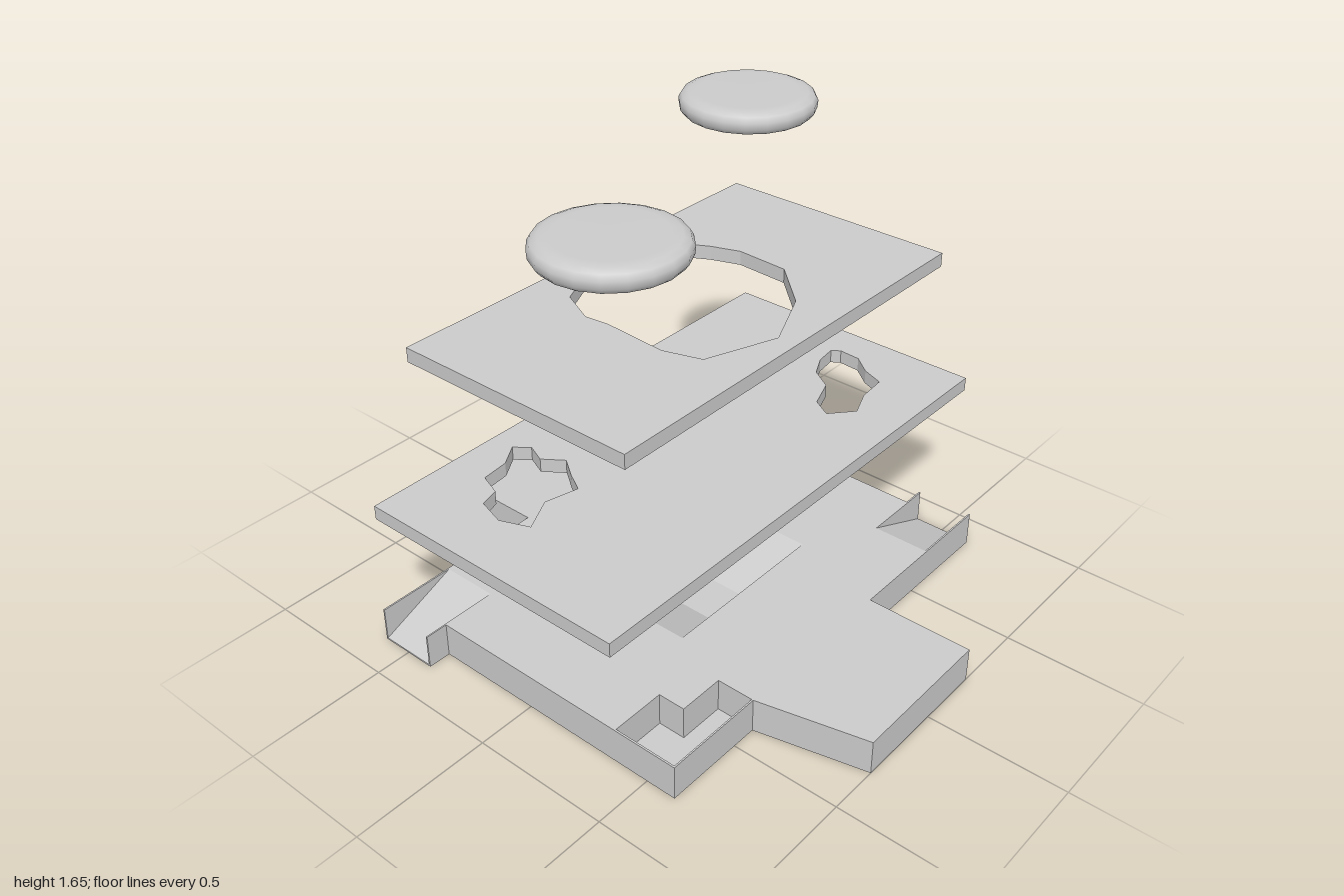
import * as THREE from 'three';

const grey = new THREE.MeshStandardMaterial({ color: 0xcccccc, side: THREE.DoubleSide });
const toPoints = (list) => list.map(([x, z]) => new THREE.Vector2(x, z));
const turned = (list) => list.map(([x, z]) => [-x, -z]);
const rect = (w, d) => [[-w, -d], [w, -d], [w, d], [-w, d]];

// Flat slab from an outline in x and z, with optional holes, between two heights
function slab(name, outline, holes, bottom, top) {
  const shape = new THREE.Shape(toPoints(outline));
  for (const h of holes) shape.holes.push(new THREE.Path(toPoints(h)));
  const geo = new THREE.ExtrudeGeometry(shape, { depth: top - bottom, bevelEnabled: false });
  geo.rotateX(Math.PI / 2).translate(0, top, 0);
  return named(name, geo);
}

function named(name, geo) {
  const mesh = new THREE.Mesh(geo, grey);
  mesh.name = name;
  return mesh;
}

// Four sloping sides between a lower and an upper rectangle
function hopper(name, low, y0, high, y1) {
  const pos = [];
  for (let i = 0; i < 4; i++) {
    const j = (i + 1) % 4;
    const a = [low[i][0], y0, low[i][1]], b = [low[j][0], y0, low[j][1]];
    const c = [high[j][0], y1, high[j][1]], d = [high[i][0], y1, high[i][1]];
    pos.push(...a, ...b, ...c, ...a, ...c, ...d);
  }
  const geo = new THREE.BufferGeometry();
  geo.setAttribute('position', new THREE.Float32BufferAttribute(pos, 3));
  geo.computeVertexNormals();
  return named(name, geo);
}

// Half of the base outline: side ear, front edge and tapered tab
function baseHalf(tabEdge, notched) {
  const notch = notched ? [[0.87, 0.396], [0.58, 0.396], [0.58, 0.604], [0.87, 0.604]] : [];
  return [
    [0.787, 0.39], [0.87, 0.39], ...notch, [0.87, 0.61],
    [tabEdge, 0.61], [tabEdge, 1], [-0.32, 1], [-0.41, 0.61], [-0.787, 0.61],
  ];
}
const baseOutline = (notched) => [...baseHalf(0.23, notched), ...turned(baseHalf(0.19, notched))];

function createBase() {
  const base = new THREE.Group();
  base.name = 'base';
  const height = 0.127, floor = 0.006;
  const pocket = [[-0.78, 0.37], [-0.58, 0.37], [-0.58, 0.47], [-0.41, 0.47], [-0.41, 0.604], [-0.78, 0.604]];
  const rim = rect(0.33, 0.25);
  base.add(slab('baseFloor', baseOutline(false), [], 0, floor));
  base.add(slab('baseBody', baseOutline(true), [pocket, turned(pocket), rim], floor, height));
  base.add(hopper('centreRecess', rect(0.085, 0.18), floor, rim, height));

  // Ramps running down and out through the open ears
  for (const side of [0, 1]) {
    const tri = new THREE.Shape(toPoints([[0.58, floor], [0.87, floor], [0.58, height]]));
    const geo = new THREE.ExtrudeGeometry(tri, { depth: 0.208, bevelEnabled: false });
    geo.translate(0, 0, 0.396).rotateY(side * Math.PI);
    base.add(named('ramp', geo));
  }
  return base;
}

export function createModel() {
  const model = new THREE.Group();
  model.name = 'explodedAssembly';
  model.add(createBase());

  // Middle plate with two irregular openings
  const leftOpening = [
    [0.8, 0.05], [0.795, 0.13], [0.74, 0.2], [0.71, 0.28], [0.6, 0.29], [0.5, 0.33],
    [0.42, 0.26], [0.46, 0.19], [0.57, 0.15], [0.62, 0.07], [0.7, 0.03], [0.78, 0.02],
  ];
  const rightOpening = [
    [-0.69, -0.05], [-0.73, -0.15], [-0.7, -0.25], [-0.63, -0.27], [-0.6, -0.35], [-0.5, -0.36],
    [-0.42, -0.41], [-0.38, -0.36], [-0.41, -0.29], [-0.36, -0.22], [-0.41, -0.15], [-0.45, -0.08], [-0.57, -0.11],
  ];
  model.add(slab('middlePlate', rect(0.93, 0.5), [leftOpening, rightOpening], 0.59, 0.64));

  // Upper plate with one large opening
  const bigOpening = [
    [-0.09, -0.36], [0.11, -0.34], [0.29, -0.245], [0.325, -0.18], [0.36, -0.08], [0.35, 0.11], [0.2, 0.27],
    [-0.02, 0.37], [-0.265, 0.28], [-0.305, 0.15], [-0.29, -0.08], [-0.3, -0.165], [-0.24, -0.29],
  ];
  model.add(slab('upperPlate', rect(0.785, 0.44), [bigOpening], 1.12, 1.17));

  // Two rounded discs on top
  const profile = toPoints([
    [0, 1.572], [0.19, 1.573], [0.217, 1.58], [0.23, 1.597], [0.232, 1.62],
    [0.222, 1.638], [0.2, 1.647], [0.17, 1.649], [0, 1.65],
  ]);
  for (const [x, z] of [[-0.54, 0.18], [0.55, -0.21]]) {
    const disc = named('disc', new THREE.LatheGeometry(profile, 20));
    disc.position.set(x, 0, z);
    model.add(disc);
  }
  return model;
}
